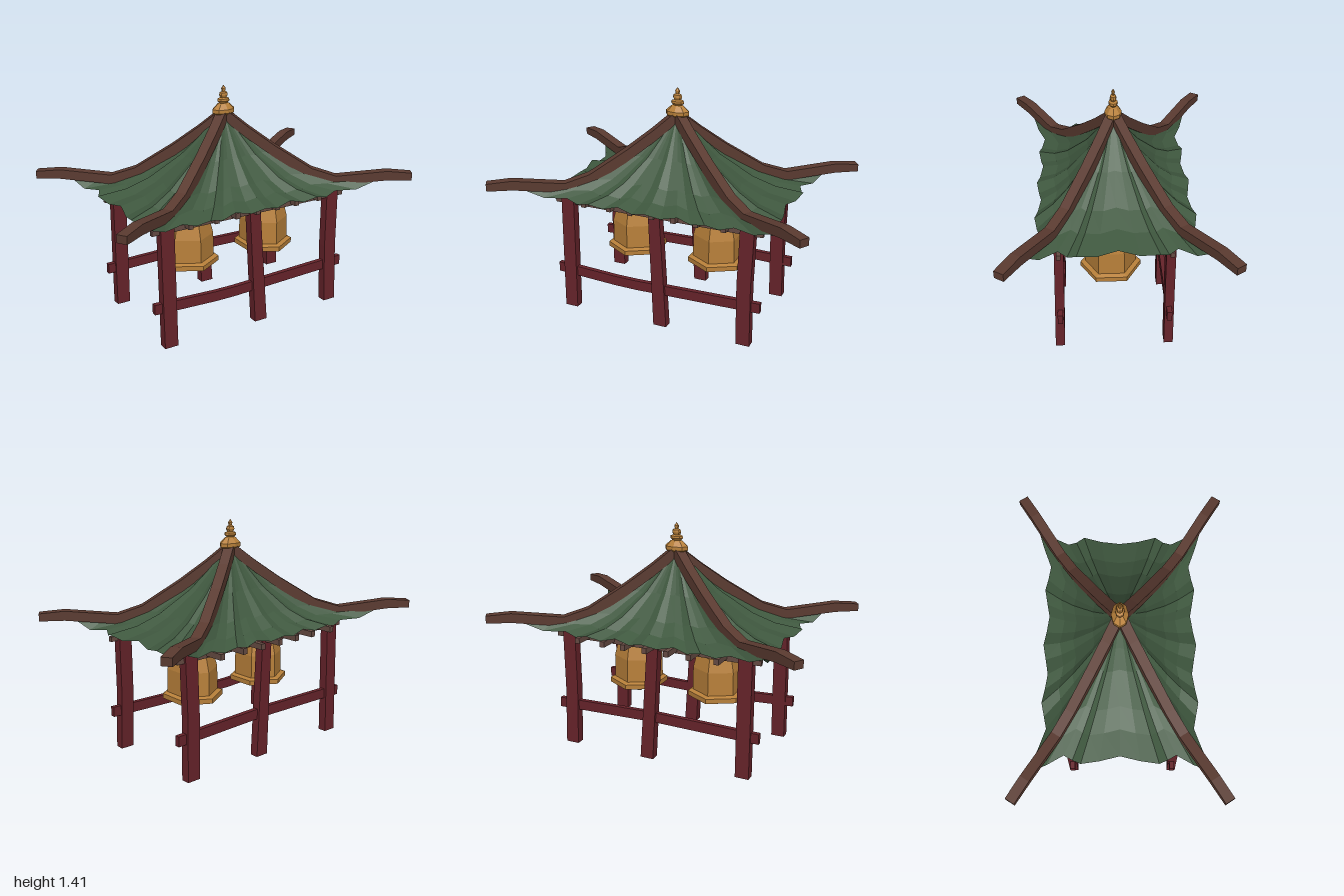
import * as THREE from 'three';

const mat = (color, side = THREE.FrontSide) => new THREE.MeshStandardMaterial({ color, flatShading: true, side });
const GREEN = mat(0x3f583f, THREE.DoubleSide);
const TIMBER = mat(0x5a3a30);
const RAFTER = mat(0x664b43);
const RED = mat(0x66232a);
const BRONZE = mat(0xb8803a, THREE.DoubleSide);
const STEEL = mat(0x8b9bb3);

function add(parent, name, geometry, material, x = 0, y = 0, z = 0) {
  const mesh = new THREE.Mesh(geometry, material);
  mesh.name = name;
  mesh.position.set(x, y, z);
  parent.add(mesh);
  return mesh;
}

// Moves every vertex of a geometry by a rule
function warp(geometry, rule) {
  const p = geometry.attributes.position;
  const v = new THREE.Vector3();
  for (let i = 0; i < p.count; i++) {
    rule(v.fromBufferAttribute(p, i));
    p.setXYZ(i, v.x, v.y, v.z);
  }
  geometry.computeVertexNormals();
  return geometry;
}

function indexed(positions, index) {
  const g = new THREE.BufferGeometry();
  g.setAttribute('position', new THREE.Float32BufferAttribute(positions, 3));
  g.setIndex(index);
  g.computeVertexNormals();
  return g;
}

const lathe = (profile, sides) =>
  new THREE.LatheGeometry(profile.map(([r, y]) => new THREE.Vector2(r, y)), sides);

// Pleated roof: one quarter of the zigzag eave [x, z, corner lift], mirrored round
function roofGeometry() {
  const quarter = [
    [0, 0.47, 0], [0.09, 0.455, 0], [0.19, 0.438, 0], [0.28, 0.455, 0], [0.37, 0.47, 0],
    [0.45, 0.455, 0], [0.53, 0.438, 0], [0.66, 0.485, 0.02], [0.8, 0.53, 0.055],
    [0.745, 0.43, 0.01], [0.69, 0.33, 0], [0.715, 0.28, 0], [0.74, 0.23, 0],
    [0.72, 0.12, 0], [0.695, 0, 0],
  ].map(([x, z, lift], i) => [x, z, lift + (i % 2 ? -0.014 : 0.006)]);
  const mirror = (sx, sz) => quarter.map(([x, z, l]) => [x * sx, z * sz, l]);
  const rim = [
    ...mirror(1, 1).slice(0, -1), ...mirror(1, -1).reverse().slice(0, -1),
    ...mirror(-1, -1).slice(0, -1), ...mirror(-1, 1).reverse().slice(0, -1),
  ];
  const slope = [[0.01, 1.25], [0.2, 1.1], [0.34, 1.0], [0.6, 0.865], [0.78, 0.805], [1, 0.77]];
  const pos = [], idx = [], n = rim.length;
  slope.forEach(([s, y], k) => rim.forEach(([x, z, l], i) => {
    pos.push(x * s, y + l * (Math.abs(l) > 0.015 ? s ** 4 : s), z * s);
    if (k === 0) return;
    const j = (i + 1) % n, a = (k - 1) * n, b = k * n;
    idx.push(a + i, b + i, b + j, a + i, b + j, a + j);
  }));
  return indexed(pos, idx);
}

// Square timber following a hip of the roof and flaring past the corner
function hipGeometry(sx, sz) {
  const path = [[0.01, 1.27], [0.13, 1.16], [0.27, 1.045], [0.47, 0.9], [0.6, 0.852], [0.87, 0.885], [1, 0.874]];
  const end = new THREE.Vector3(0.972 * sx, 0, 0.622 * sz);
  const side = end.clone().normalize().cross(new THREE.Vector3(0, 1, 0)).multiplyScalar(0.031);
  const pos = [], idx = [];
  path.forEach(([t, top], k) => {
    const depth = k < 4 ? 0.075 : k < 6 ? 0.058 : 0.046;
    for (const [w, y] of [[-1, top - depth], [1, top - depth], [1, top], [-1, top]]) {
      pos.push(end.x * t + side.x * w, y, end.z * t + side.z * w);
    }
    if (k === 0) return;
    const a = (k - 1) * 4, b = k * 4;
    for (let i = 0; i < 4; i++) {
      const j = (i + 1) % 4;
      idx.push(a + i, b + i, b + j, a + i, b + j, a + j);
    }
  });
  const e = (path.length - 1) * 4;
  idx.push(0, 1, 2, 0, 2, 3, e, e + 2, e + 1, e, e + 3, e + 2);
  return indexed(pos, idx);
}

function makeBell() {
  const bell = new THREE.Group();
  bell.name = 'bell';
  add(bell, 'bellBody', lathe([
    [0.13, 0.39], [0.165, 0.345], [0.185, 0.345], [0.185, 0.375], [0.155, 0.385],
    [0.153, 0.53], [0.132, 0.615], [0.045, 0.668], [0, 0.668],
  ], 6), BRONZE);
  add(bell, 'bellInside', lathe([[0.13, 0.39], [0.125, 0.53], [0.1, 0.6], [0, 0.62]], 6), BRONZE);
  add(bell, 'hanger', new THREE.CylinderGeometry(0.024, 0.024, 0.06, 6), BRONZE, 0, 0.695, 0);
  add(bell, 'clapper', new THREE.CylinderGeometry(0.018, 0.024, 0.33, 6), STEEL, 0, 0.452, 0);
  return bell;
}

export function createModel() {
  const model = new THREE.Group();
  model.name = 'bellPavilion';

  // Roof, hips and finial
  add(model, 'roof', roofGeometry(), GREEN);
  for (const sx of [-1, 1]) for (const sz of [-1, 1]) add(model, 'hipBeam', hipGeometry(sx, sz), TIMBER);
  const finial = add(model, 'finial', lathe([
    [0, 1.235], [0.06, 1.235], [0.075, 1.245], [0.075, 1.267], [0.04, 1.298], [0.028, 1.302], [0.042, 1.315],
    [0.04, 1.328], [0.022, 1.335], [0.03, 1.35], [0.026, 1.365], [0.012, 1.372], [0.016, 1.39], [0, 1.41],
  ], 8), BRONZE);
  finial.scale.z = 0.66;

  // Three posts per side, leaning in slightly; the middle one also tilts
  for (const sz of [-1, 1]) {
    for (const x of [-0.58, 0, 0.58]) {
      const geo = warp(new THREE.BoxGeometry(0.085, 0.76, 0.055, 1, 2, 1), (v) => {
        const h = v.y / 0.76 + 0.5;
        if (x === 0) v.x = v.x * (1 - 0.15 * h) + 0.043 * (1 - h);
        if (x > 0 && h === 0.5) v.x -= 0.008;
        v.z += sz * (sz > 0 ? 0.345 - 0.018 * h : 0.311 - 0.009 * h);
      });
      add(model, 'post', geo, RED, x, 0.38, 0);
    }
  }

  // Low rails: the front one sags, the back one rises a little
  const railFront = warp(new THREE.BoxGeometry(1.34, 0.062, 0.03, 10, 1, 1), (v) => {
    const d = Math.max(0, 1 - Math.abs(v.x + 0.2) / (v.x < -0.2 ? 0.47 : 0.87));
    v.y -= 0.022 * d;
  });
  add(model, 'frontRail', railFront, RED, 0, 0.253, 0.335);
  const railBack = warp(new THREE.BoxGeometry(1.34, 0.062, 0.03, 4, 1, 1), (v) => {
    v.y += 0.014 * (1 - Math.abs(v.x) / 0.67);
  });
  add(model, 'backRail', railBack, RED, 0, 0.256, -0.305);

  // Roof framing
  for (const z of [0.33, -0.305]) add(model, 'wallBeam', new THREE.BoxGeometry(1.34, 0.03, 0.025), RAFTER, 0, 0.715, z);
  for (const x of [-0.45, -0.28, -0.14, 0, 0.14, 0.28, 0.45]) {
    add(model, 'crossBeam', new THREE.BoxGeometry(0.03, 0.035, 0.83), RAFTER, x, 0.73, -0.025);
  }

  // Two hanging bells
  for (const x of [-0.27, 0.285]) {
    const bell = makeBell();
    bell.position.set(x, 0, 0.027);
    model.add(bell);
  }
  return model;
}
